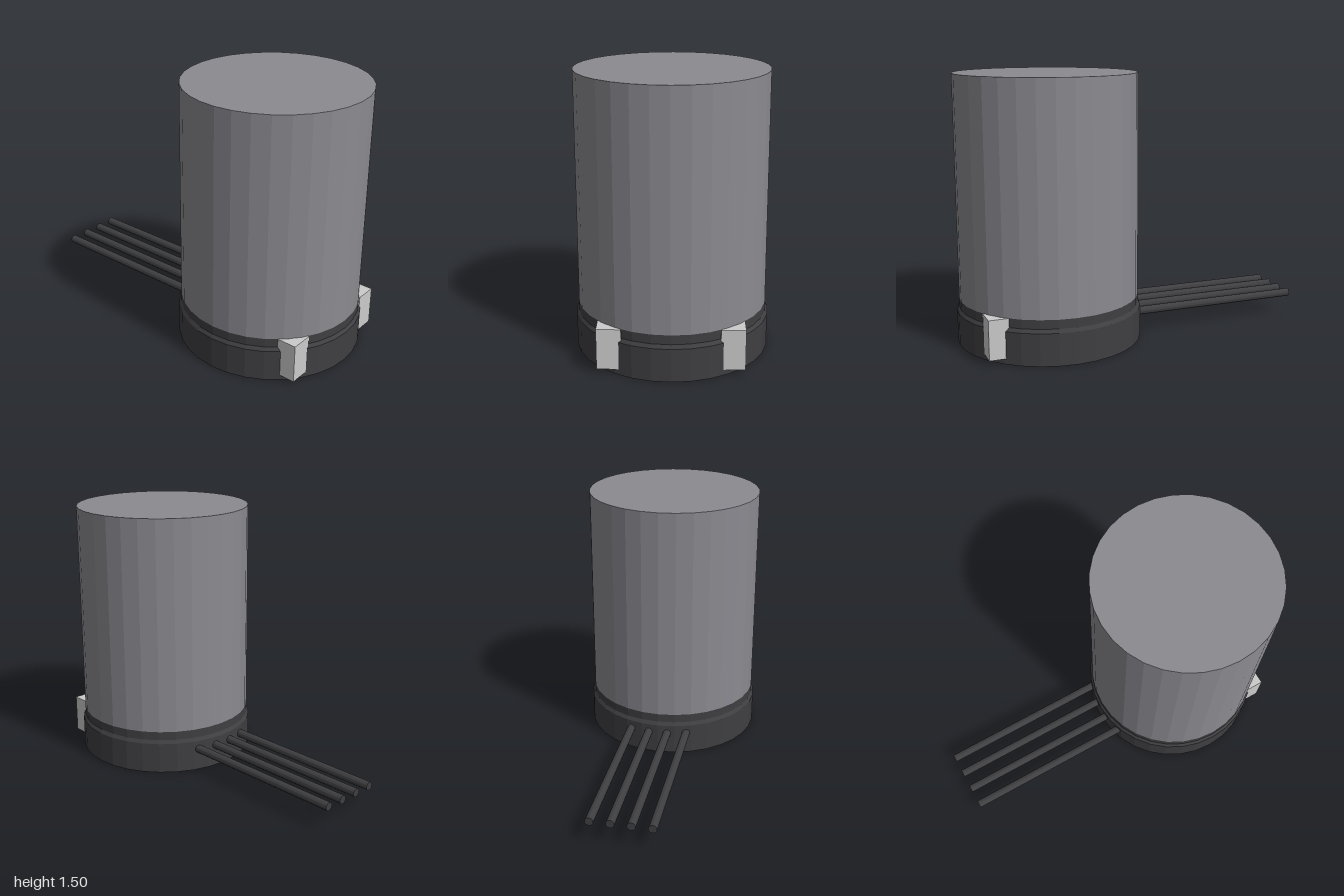
import * as THREE from 'three';

const SIDES = 32;
const CENTRE_Z = 0.48;

const material = (color, extra = {}) =>
  new THREE.MeshStandardMaterial({ color, flatShading: true, ...extra });

export function createModel() {
  const model = new THREE.Group();
  const casing = material(0x8b8a90);
  const dark = material(0x3f3f42);
  const grey = material(0xcccccc);

  const add = (name, geometry, mat, x, y, z) => {
    const mesh = new THREE.Mesh(geometry, mat);
    mesh.name = name;
    mesh.position.set(x, y, z);
    model.add(mesh);
    return mesh;
  };

  // Tall cylindrical casing
  add('casing', new THREE.CylinderGeometry(0.507, 0.507, 1.25, SIDES), casing, 0, 0.875, CENTRE_Z);

  // Hollow base cup: ceiling, inner wall, rim, outer wall and chamfered shoulder
  const profile = [
    [0, 0.245], [0.497, 0.245], [0.505, 0.18], [0.505, 0],
    [0.52, 0], [0.52, 0.18], [0.507, 0.2], [0.507, 0.25],
  ].map(([r, y]) => new THREE.Vector2(r, y));
  add('baseCup', new THREE.LatheGeometry(profile, SIDES),
    material(0x3f3f42, { side: THREE.DoubleSide }), 0, 0, CENTRE_Z);

  // Small boss in the middle of the cup ceiling
  add('ceilingBoss', new THREE.CylinderGeometry(0.045, 0.045, 0.01, 16), casing, 0, 0.243, CENTRE_Z);

  // Square mounting lugs with a vertical screw hole
  const lugShape = new THREE.Shape();
  lugShape.moveTo(-0.063, -0.1);
  lugShape.lineTo(0.063, -0.1);
  lugShape.lineTo(0.063, 0.1);
  lugShape.lineTo(-0.063, 0.1);
  lugShape.closePath();
  const hole = new THREE.Path();
  hole.absarc(0, 0, 0.04, 0, Math.PI * 2, true);
  lugShape.holes.push(hole);
  const lugGeometry = new THREE.ExtrudeGeometry(lugShape, { depth: 0.22, bevelEnabled: false, curveSegments: 16 });
  lugGeometry.rotateX(-Math.PI / 2);
  for (const side of [-1, 1]) {
    add(side > 0 ? 'leftLug' : 'rightLug', lugGeometry, grey, side * 0.315, 0.03, CENTRE_Z + 0.345);
  }

  // Row of four straight wires leaving the back
  const wireGeometry = new THREE.CylinderGeometry(0.024, 0.024, 1, 12);
  wireGeometry.rotateX(Math.PI / 2);
  for (let i = 0; i < 4; i++) {
    add(`wire${i + 1}`, wireGeometry, dark, (i - 1.5) * 0.112, 0.13, -0.5);
  }

  return model;
}
